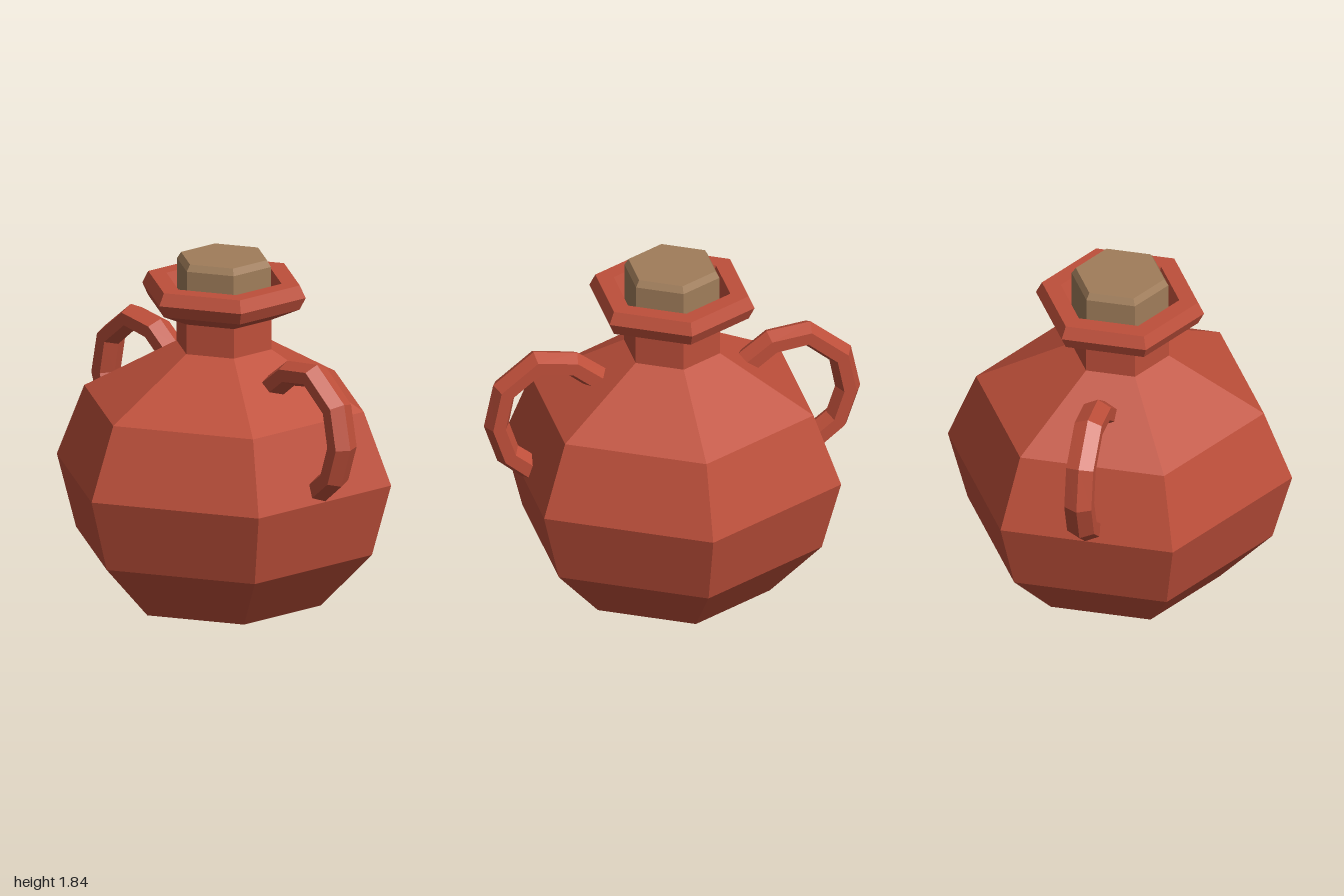
import * as THREE from 'three';

const SIDES = 6;

// Unshared vertices give every facet its own flat normal
function faceted(geometry) {
  const flat = geometry.index ? geometry.toNonIndexed() : geometry;
  flat.computeVertexNormals();
  return flat;
}

// Six-sided turned form from [radius, height] pairs, corners on the z axis
function turned(name, profile, material) {
  const points = profile.map(([r, y]) => new THREE.Vector2(r, y));
  const mesh = new THREE.Mesh(faceted(new THREE.LatheGeometry(points, SIDES)), material);
  mesh.name = name;
  mesh.rotation.y = 0.008;
  return mesh;
}

// Hexagonal bar swept along a path in the xy plane, mitred at each bend
function sweptBar(path, radius, halfWidth) {
  const pts = path.map(([x, y]) => new THREE.Vector2(x, y));
  const positions = [];
  const index = [];
  pts.forEach((p, i) => {
    const before = p.clone().sub(pts[Math.max(i - 1, 0)]).normalize();
    const after = pts[Math.min(i + 1, pts.length - 1)].clone().sub(p).normalize();
    const t = before.add(after).normalize();
    for (let j = 0; j < SIDES; j++) {
      const a = (j / SIDES) * Math.PI * 2;
      const out = Math.cos(a) * radius;
      const side = (Math.sin(a) / Math.sin(Math.PI / 3)) * halfWidth;
      positions.push(p.x - t.y * out, p.y + t.x * out, side);
      if (i < pts.length - 1) {
        const k = (j + 1) % SIDES;
        const v = i * SIDES;
        const w = v + SIDES;
        index.push(v + j, v + k, w + j, v + k, w + k, w + j);
      }
    }
  });
  // End caps
  const last = (pts.length - 1) * SIDES;
  for (let j = 1; j < SIDES - 1; j++) {
    index.push(0, j + 1, j, last, last + j, last + j + 1);
  }
  const geometry = new THREE.BufferGeometry();
  geometry.setAttribute('position', new THREE.Float32BufferAttribute(positions, 3));
  geometry.setIndex(index);
  return faceted(geometry);
}

export function createModel() {
  const clay = new THREE.MeshStandardMaterial({ color: 0xbe4f3a });
  clay.name = 'terracotta';
  const cork = new THREE.MeshStandardMaterial({ color: 0xa07d5a });
  cork.name = 'cork';

  const jug = new THREE.Group();
  jug.name = 'jug';

  // Belly, neck, flared lip and the shallow mouth in one profile
  jug.add(turned('vessel', [
    [0, 0], [0.53, 0], [0.81, 0.3], [0.915, 0.685], [0.765, 1.07],
    [0.26, 1.36], [0.26, 1.52], [0.415, 1.59], [0.447, 1.655],
    [0.415, 1.72], [0.315, 1.72], [0.265, 1.6], [0, 1.6],
  ], clay));

  // Stopper with a bevelled top
  jug.add(turned('stopper', [
    [0.257, 1.58], [0.257, 1.805], [0.235, 1.84], [0, 1.84],
  ], cork));

  // Two loop handles, the second turned half way round
  const handleGeometry = sweptBar([
    [0.38, 1.21], [0.53, 1.325], [0.72, 1.352], [0.895, 1.212],
    [0.935, 1.015], [0.875, 0.838], [0.76, 0.745],
  ], 0.067, 0.072);
  ['leftHandle', 'rightHandle'].forEach((name, i) => {
    const handle = new THREE.Mesh(handleGeometry, clay);
    handle.name = name;
    handle.rotation.y = i * Math.PI;
    jug.add(handle);
  });

  return jug;
}
